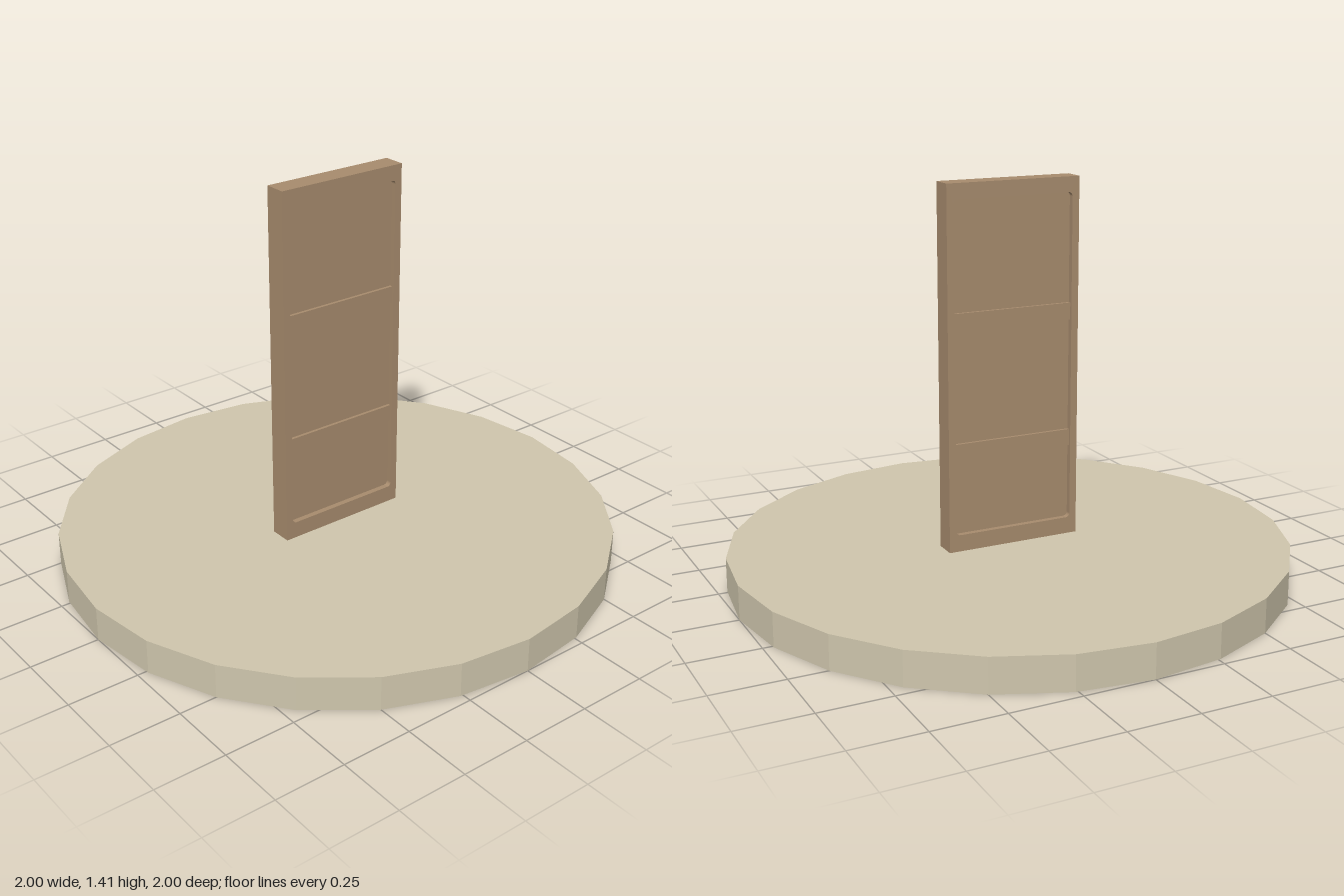
import * as THREE from 'three';

const BASE_TOP = 0.122, DOOR_TOP = 1.412, THICK = 0.08, RECESS = 0.02;

// Traces a rectangle with rounded corners onto a shape or path
function roundedRect(path, x0, y0, x1, y1, r) {
  path.moveTo(x0 + r, y0);
  path.lineTo(x1 - r, y0);
  path.absarc(x1 - r, y0 + r, r, -Math.PI / 2, 0);
  path.lineTo(x1, y1 - r);
  path.absarc(x1 - r, y1 - r, r, 0, Math.PI / 2);
  path.lineTo(x0 + r, y1);
  path.absarc(x0 + r, y1 - r, r, Math.PI / 2, Math.PI);
  path.lineTo(x0, y0 + r);
  path.absarc(x0 + r, y0 + r, r, Math.PI, Math.PI * 1.5);
  return path;
}

export function createModel() {
  const stone = new THREE.MeshStandardMaterial({ color: 0xcfc6ad, flatShading: true });
  stone.name = 'paleStone';
  const wood = new THREE.MeshStandardMaterial({ color: 0xa88c6e, flatShading: true });
  wood.name = 'brownWood';

  const model = new THREE.Group();
  const add = (parent, name, geometry, material, x, y, z) => {
    const mesh = new THREE.Mesh(geometry, material);
    mesh.name = name;
    mesh.position.set(x, y, z);
    parent.add(mesh);
    return mesh;
  };

  // Round faceted plinth
  add(model, 'base', new THREE.CylinderGeometry(1, 1, BASE_TOP, 24), stone, 0, BASE_TOP / 2, 0);

  const door = new THREE.Group();
  door.name = 'door';
  model.add(door);

  // Frame with a rounded opening
  const outline = new THREE.Shape();
  outline.moveTo(-0.25, BASE_TOP);
  outline.lineTo(0.25, BASE_TOP);
  outline.lineTo(0.25, DOOR_TOP);
  outline.lineTo(-0.25, DOOR_TOP);
  outline.closePath();
  outline.holes.push(roundedRect(new THREE.Path(), -0.224, 0.182, 0.224, 1.358, 0.015));
  const frame = new THREE.ExtrudeGeometry(outline, { depth: THICK, bevelEnabled: false, curveSegments: 4 });
  add(door, 'doorFrame', frame, wood, 0, 0, -THICK / 2);

  // Recessed panel filling the opening
  const panelDepth = THICK - 2 * RECESS;
  add(door, 'doorPanel', new THREE.BoxGeometry(0.46, 1.19, panelDepth), wood, 0, 0.77, 0);

  // Low cross rails, showing on both faces
  for (const y of [0.94, 0.48]) {
    add(door, 'crossRail', new THREE.BoxGeometry(0.45, 0.06, panelDepth + 0.022), wood, 0, y, 0);
  }
  return model;
}
